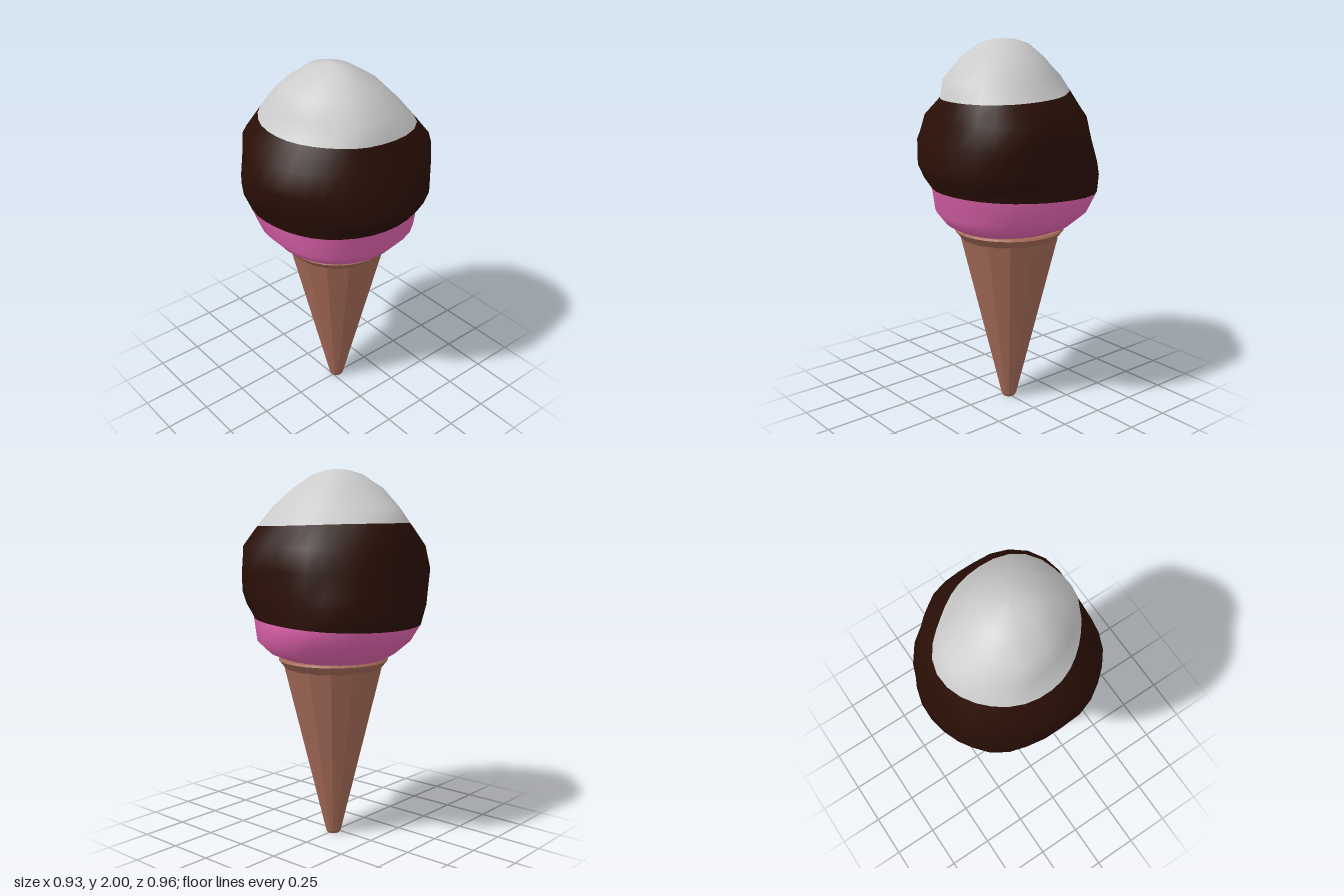
import * as THREE from 'three';

const SEGMENTS = 32;

// Scoop cross-sections: height, front-to-back tilt, then radii every 45 degrees from +x towards +z
const RINGS = [
  [.985, 0, 0, 0, 0, 0, 0, 0, 0, 0],
  [.995, 0, .28, .28, .27, .25, .24, .26, .28, .29],
  [1.03, 0, .365, .36, .335, .32, .31, .325, .335, .36],
  [1.10, 0, .44, .43, .39, .375, .365, .405, .415, .445],
  [1.21, .02, .45, .445, .415, .39, .385, .45, .48, .495],
  [1.29, 0, .45, .48, .455, .425, .42, .485, .465, .505],
  [1.36, 0, .455, .50, .48, .45, .45, .49, .455, .50],
  [1.48, 0, .445, .50, .445, .465, .47, .465, .44, .465],
  [1.60, 0, .45, .495, .405, .43, .45, .465, .43, .43],
  [1.71, -.012, .355, .42, .37, .335, .355, .385, .40, .33],
  [1.80, 0, .285, .34, .35, .295, .29, .33, .34, .28],
  [1.90, 0, .21, .23, .24, .235, .25, .25, .22, .205],
  [1.97, 0, .105, .12, .15, .14, .12, .14, .14, .115],
  [1.993, 0, .04, .05, .07, .07, .07, .07, .06, .05],
  [2.00, 0, 0, 0, 0, 0, 0, 0, 0, 0],
];

// Lumps and dents: angle in degrees, height, depth
const LUMPS = [
  [26, 1.44, .035], [10, 1.5, -.02], [236, 1.5, .045], [215, 1.47, -.012], [165, 1.52, .012],
  [108, 1.83, .012], [200, 1.85, .012], [338, 1.5, .025], [318, 1.42, -.012], [295, 1.36, -.012],
  [278, 1.32, .015], [60, 1.34, .012], [118, 1.4, .014],
];

// Smooth periodic interpolation of the eight radii
function radiusAt(radii, t) {
  const i = Math.floor(t), f = t - i;
  const [a, b, c, d] = [-1, 0, 1, 2].map((k) => radii[(i + k + 8) % 8]);
  return b + 0.5 * f * (c - a + f * (2 * a - 5 * b + 4 * c - d + f * (3 * (b - c) + d - a)));
}

// Sum of the lumps near a point of the surface
function lumpAt(degrees, y) {
  return LUMPS.reduce((sum, [angle, height, depth]) => {
    const turn = ((degrees - angle + 540) % 360 - 180) / 12;
    const rise = (y - height) / 0.1;
    return sum + depth * Math.exp(-turn * turn - rise * rise);
  }, 0);
}

// One continuous lumpy surface, shared by the three flavours
function scoopSurface() {
  const positions = [], index = [];
  RINGS.forEach(([y, tilt, ...radii]) => {
    for (let j = 0; j < SEGMENTS; j++) {
      const a = (j / SEGMENTS) * Math.PI * 2;
      const base = radiusAt(radii, (j / SEGMENTS) * 8);
      const r = base && base + lumpAt((j / SEGMENTS) * 360, y);
      positions.push(r * Math.cos(a), y + tilt * Math.sin(a), r * Math.sin(a));
    }
  });
  for (let row = 0; row < RINGS.length - 1; row++) {
    for (let j = 0; j < SEGMENTS; j++) {
      const p = row * SEGMENTS + j, q = row * SEGMENTS + ((j + 1) % SEGMENTS);
      index.push(p, p + SEGMENTS, q, q, p + SEGMENTS, q + SEGMENTS);
    }
  }
  const geometry = new THREE.BufferGeometry();
  geometry.setAttribute('position', new THREE.Float32BufferAttribute(positions, 3));
  geometry.setIndex(index);
  geometry.computeVertexNormals();
  return geometry;
}

// A band of the surface between two rings
function scoop(surface, name, from, to, color) {
  const geometry = new THREE.BufferGeometry();
  geometry.setAttribute('position', surface.attributes.position);
  geometry.setAttribute('normal', surface.attributes.normal);
  const perRow = SEGMENTS * 6;
  geometry.setIndex(Array.from(surface.index.array.slice(from * perRow, to * perRow)));
  const mesh = new THREE.Mesh(geometry, new THREE.MeshStandardMaterial({ color }));
  mesh.name = name;
  return mesh;
}

// A turned wafer part from radius-height pairs
function wafer(name, profile, sides) {
  const points = profile.map(([r, y]) => new THREE.Vector2(r, y));
  const material = new THREE.MeshStandardMaterial({ color: 0xa66b58, flatShading: true });
  const mesh = new THREE.Mesh(new THREE.LatheGeometry(points, sides), material);
  mesh.name = name;
  mesh.position.set(0.03, 0, -0.005);
  return mesh;
}

export function createModel() {
  const group = new THREE.Group();
  group.name = 'iceCream';

  // Faceted wafer cone with a rounder flared rim
  group.add(
    wafer('cone', [[0, 0], [.034, 0], [.042, .015], [.268, .95]], 14),
    wafer('coneRim', [[.262, .945], [.298, .99], [.29, 1], [0, 1]], 28),
  );

  // Three stacked flavours
  const surface = scoopSurface();
  group.add(
    scoop(surface, 'lowerScoop', 0, 4, 0xe666b2),
    scoop(surface, 'middleScoop', 4, 9, 0x2a0f06),
    scoop(surface, 'topScoop', 9, 14, 0xcccccc),
  );
  return group;
}
